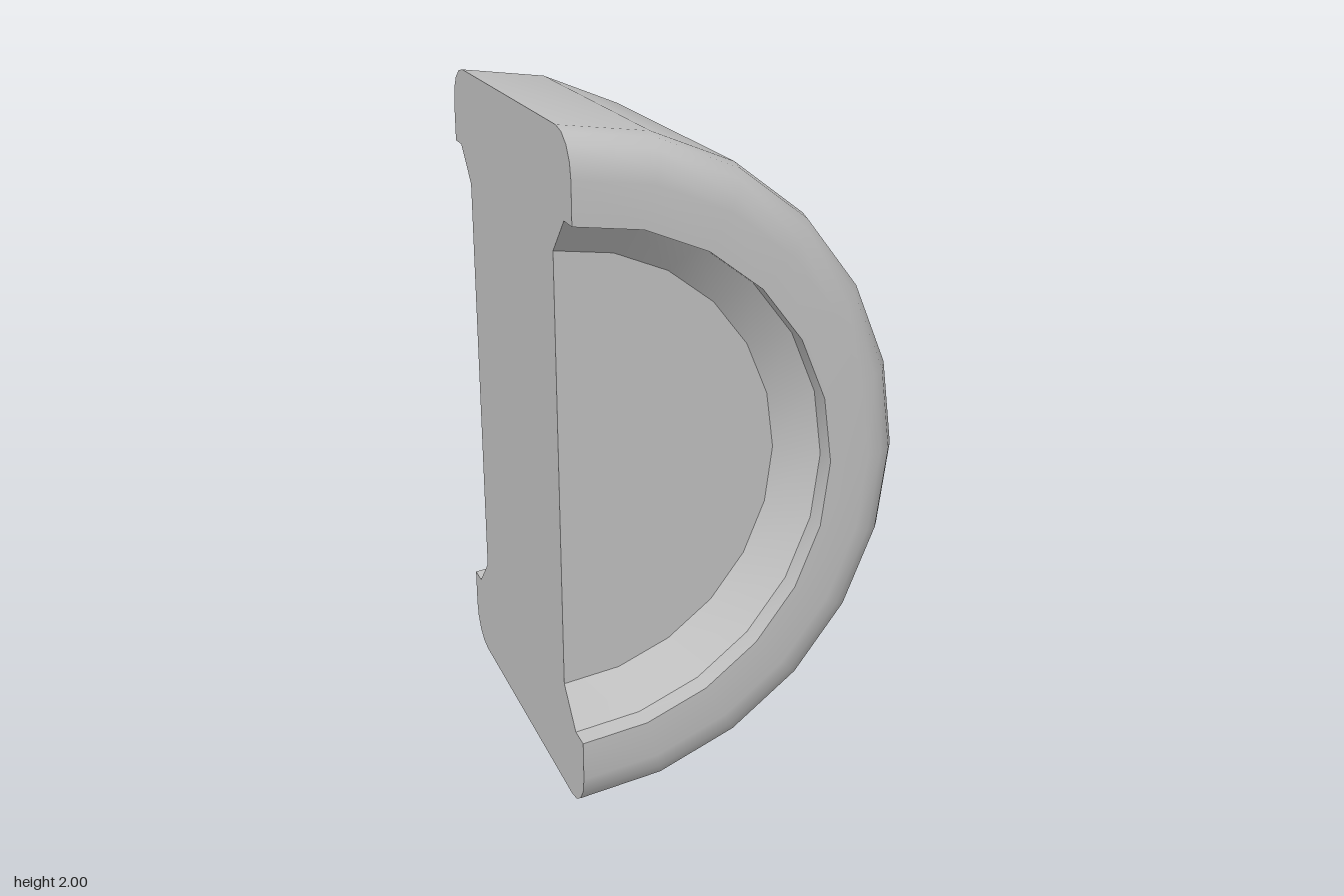
import * as THREE from 'three';
import { toCreasedNormals } from 'three/addons/utils/BufferGeometryUtils.js';

const HALF_WIDTH = 0.593;
const ROUND = 0.12;
const SEGMENTS = 12;

// Half of the cross-section as (radius, axial position), from hub centre to the outer face
function halfProfile() {
  const points = [[0, 0.424], [0.655, 0.424], [0.76, 0.526], [0.76, HALF_WIDTH]];
  for (let i = 0; i <= 4; i++) {
    const a = (i / 4) * Math.PI / 2;
    points.push([
      1 - ROUND + ROUND * Math.sin(a),
      HALF_WIDTH - ROUND + ROUND * Math.cos(a),
    ]);
  }
  return points.map(([r, z]) => new THREE.Vector2(r, z));
}

export function createModel() {
  const group = new THREE.Group();
  group.name = 'halfRoller';
  const grey = new THREE.MeshStandardMaterial({ color: 0xc0c0c0 });
  grey.name = 'grey';

  // Full cross-section, back to front
  const front = halfProfile();
  const back = front.map((p) => new THREE.Vector2(p.x, -p.y));
  const profile = [...back, ...front.slice().reverse()];

  // Half-turn body with recessed ends and rounded rims
  const bodyGeometry = new THREE.LatheGeometry(profile, SEGMENTS, 0, Math.PI);
  bodyGeometry.rotateX(Math.PI / 2);
  const body = new THREE.Mesh(toCreasedNormals(bodyGeometry, Math.PI / 6), grey);
  body.name = 'rollerBody';

  // Flat face closing the cut side, mirrored above and below the axis
  const upper = profile.slice(1, -1);
  const lower = upper.map((p) => new THREE.Vector2(p.y, -p.x)).reverse();
  const outline = [...upper.map((p) => new THREE.Vector2(p.y, p.x)), ...lower];
  const cutGeometry = new THREE.ShapeGeometry(new THREE.Shape(outline));
  cutGeometry.rotateY(-Math.PI / 2);
  const cutFace = new THREE.Mesh(cutGeometry, grey);
  cutFace.name = 'cutFace';

  group.add(body, cutFace);
  for (const part of group.children) part.position.set(-0.5, 1, 0);
  return group;
}
